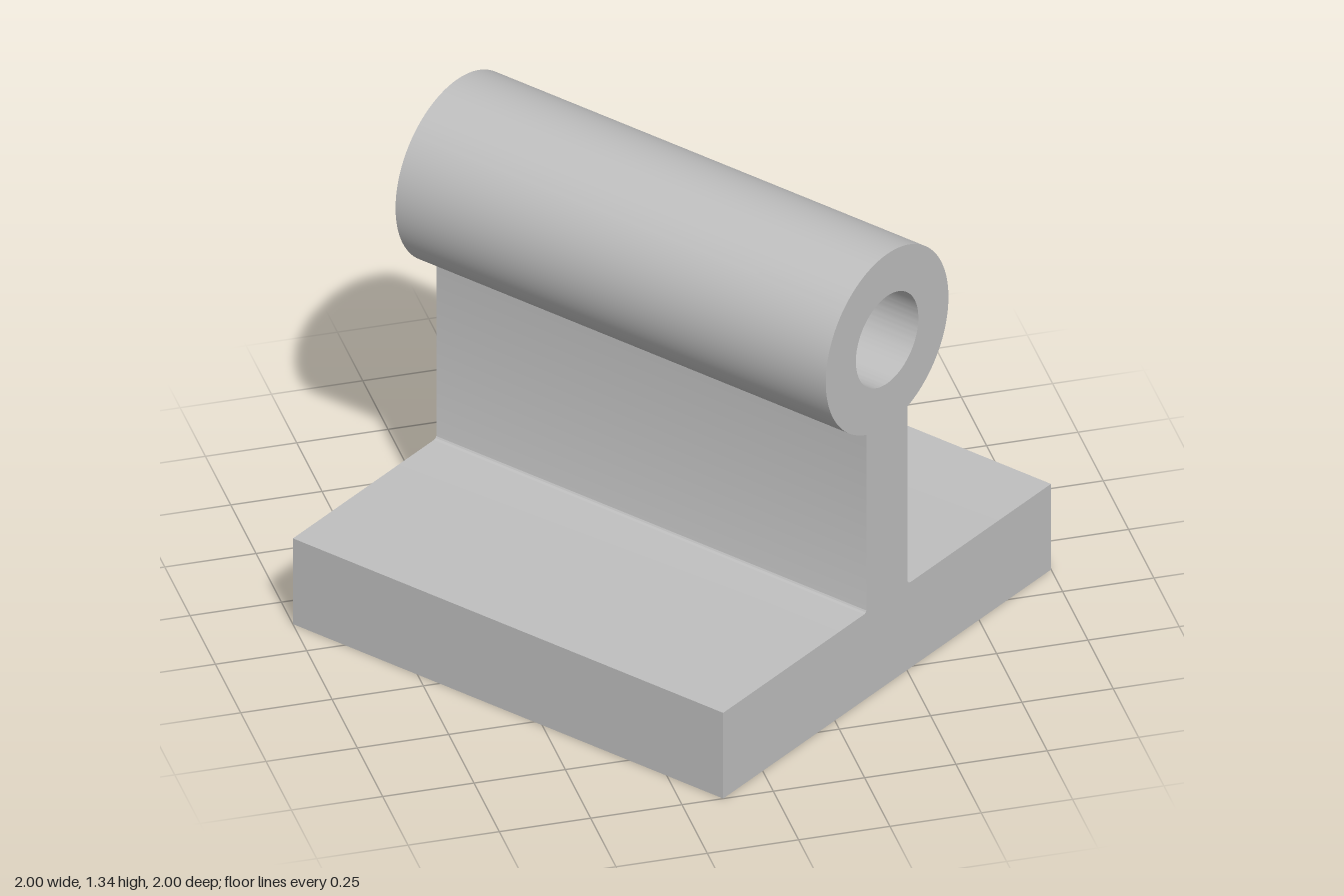
import * as THREE from 'three';
import { toCreasedNormals } from 'three/addons/utils/BufferGeometryUtils.js';

const HALF = 0.7135;     // half side of the square base
const BASE_TOP = 0.267;
const WEB = 0.089;       // half thickness of the upright web
const FILLET = 0.012;
const TUBE_Y = 1.073, TUBE_R = 0.267, BORE_R = 0.136;

// Cross-section of base, web and bored tube, drawn counter-clockwise
function bracketProfile() {
  const join = Math.asin(WEB / TUBE_R);
  const shape = new THREE.Shape();
  shape.moveTo(-HALF, 0);
  shape.lineTo(HALF, 0);
  shape.lineTo(HALF, BASE_TOP);
  shape.absarc(WEB + FILLET, BASE_TOP + FILLET, FILLET, -Math.PI / 2, -Math.PI, true);
  shape.absarc(0, TUBE_Y, TUBE_R, -Math.PI / 2 + join, 1.5 * Math.PI - join, false);
  shape.absarc(-WEB - FILLET, BASE_TOP + FILLET, FILLET, 0, -Math.PI / 2, true);
  shape.lineTo(-HALF, BASE_TOP);
  shape.closePath();

  const bore = new THREE.Path();
  bore.absarc(0, TUBE_Y, BORE_R, 0, Math.PI * 2, true);
  shape.holes.push(bore);
  return shape;
}

export function createModel() {
  const greyMetal = new THREE.MeshStandardMaterial({ color: 0xbfbfbf });
  greyMetal.name = 'grey metal';

  // One solid with a constant section along its length
  const geometry = new THREE.ExtrudeGeometry(bracketProfile(), {
    depth: HALF * 2, bevelEnabled: false, curveSegments: 64,
  });
  geometry.translate(0, 0, -HALF);

  const bracket = new THREE.Mesh(toCreasedNormals(geometry, 0.4), greyMetal);
  bracket.name = 'tubeBracket';
  bracket.rotation.y = Math.atan2(0.865, 1.14); // stands turned on its base

  const group = new THREE.Group();
  group.name = 'pivotBracket';
  group.add(bracket);
  return group;
}
